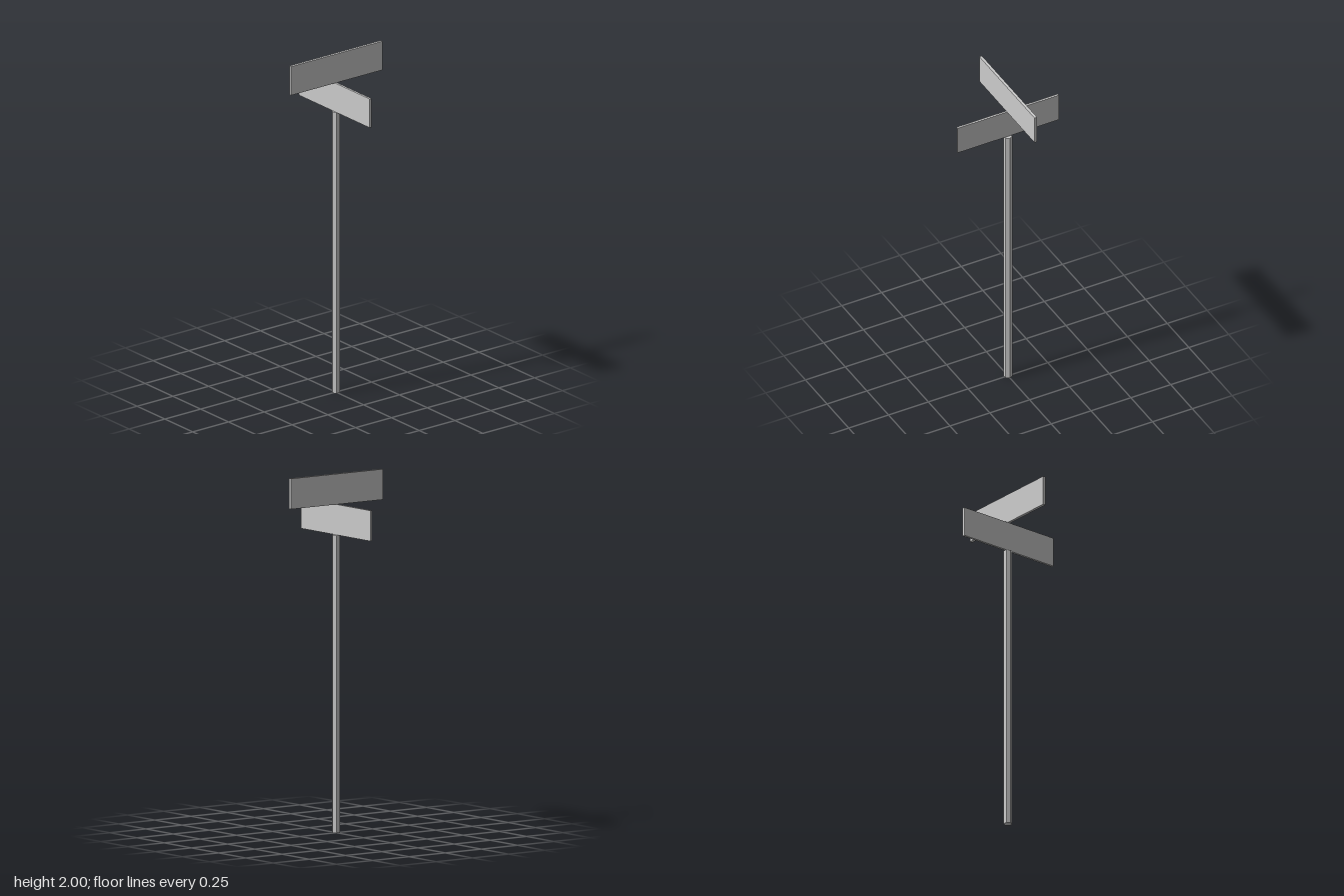
import * as THREE from 'three';

const material = new THREE.MeshStandardMaterial({ color: 0xcccccc, flatShading: true });

// Upright board from its plan outline of [x, z] corners, between two heights
function board(name, plan, bottom, top) {
  const shape = new THREE.Shape(plan.map(([x, z]) => new THREE.Vector2(x, -z)));
  const geometry = new THREE.ExtrudeGeometry(shape, { depth: top - bottom, bevelEnabled: false });
  geometry.rotateX(-Math.PI / 2).translate(0, bottom, 0);
  const mesh = new THREE.Mesh(geometry, material);
  mesh.name = name;
  return mesh;
}

export function createModel() {
  const group = new THREE.Group();
  group.name = 'signpost';

  // Hexagonal pole
  const poleHeight = 1.66;
  const pole = new THREE.Mesh(new THREE.CylinderGeometry(0.024, 0.024, poleHeight, 6), material);
  pole.position.y = poleHeight / 2;
  pole.name = 'pole';
  group.add(pole);

  // Two crossed boards with slightly bevelled ends, one above the other
  group.add(board('lowerSign',
    [[-0.317, 0.01], [0.316, 0.01], [0.319, -0.003], [-0.32, -0.003]], 1.66, 1.83));
  group.add(board('upperSign',
    [[-0.009, 0.317], [0.007, 0.319], [0.007, -0.321], [-0.009, -0.319]], 1.83, 2));

  return group;
}
